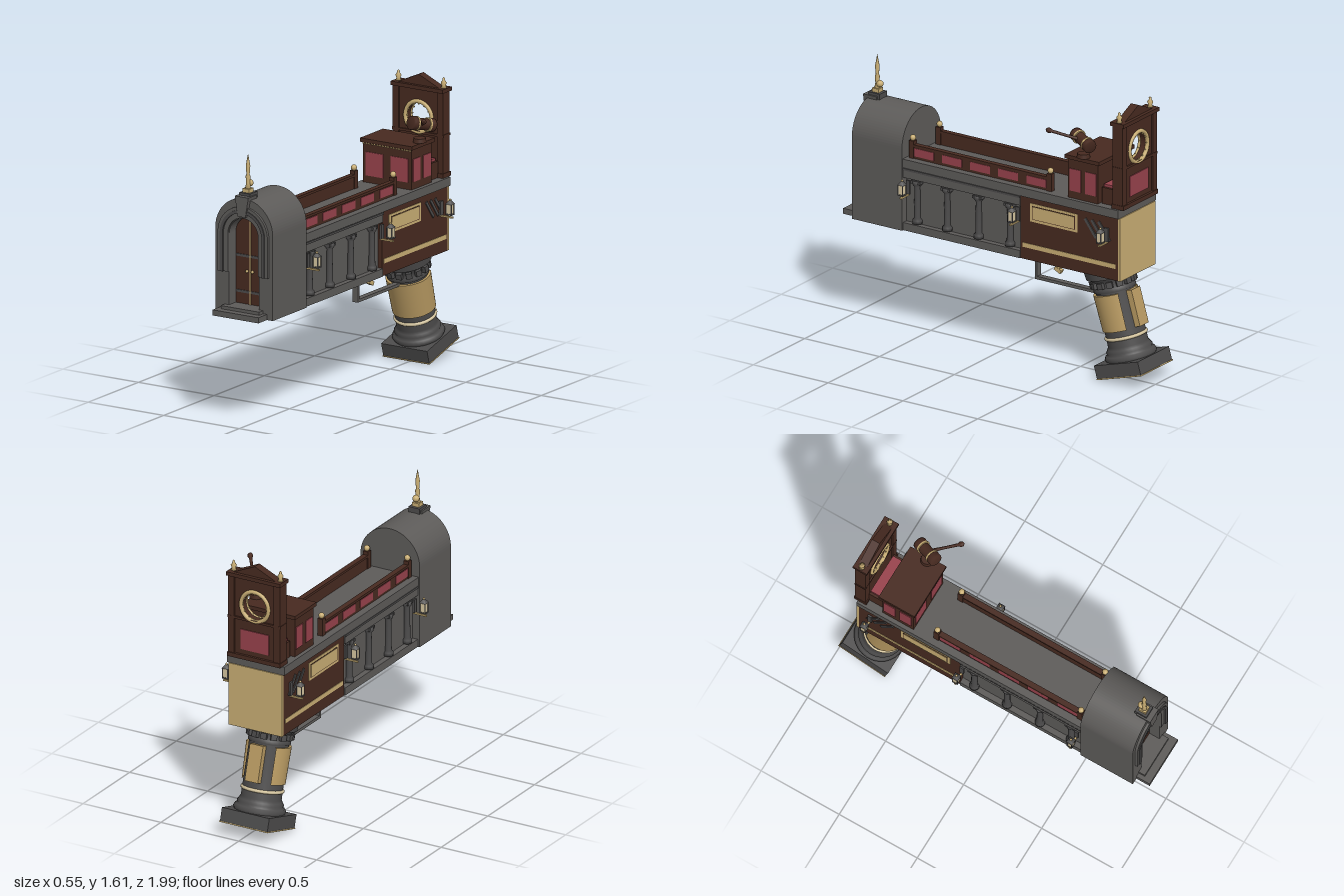
import * as THREE from 'three';

const paint = (name, color) => {
  const m = new THREE.MeshStandardMaterial({ color });
  m.name = name;
  return m;
};

export function createModel() {
  const stone = paint('stone', 0x5d5b59), slate = paint('dark stone', 0x4c4b4b);
  const wood = paint('dark wood', 0x472a20), gold = paint('brass', 0xc9ae74);
  const red = paint('red panel', 0x98424c), cream = paint('lamp glass', 0xd6c6a0);
  const shell = paint('brass sleeve', 0xb89a62);
  shell.side = THREE.DoubleSide;

  const model = new THREE.Group();
  model.name = 'courthouseBlaster';
  const body = new THREE.Group();
  body.name = 'body';
  body.position.x = -0.025;
  model.add(body);

  const add = (name, geo, mat, x = 0, y = 0, z = 0, parent = body) => {
    const m = new THREE.Mesh(geo, mat);
    m.name = name;
    m.position.set(x, y, z);
    parent.add(m);
    return m;
  };
  // box given by its ranges on each axis
  const box = (name, mat, x0, x1, y0, y1, z0, z1, parent = body) =>
    add(name, new THREE.BoxGeometry(x1 - x0, y1 - y0, z1 - z0), mat, (x0 + x1) / 2, (y0 + y1) / 2, (z0 + z1) / 2, parent);
  const wide = (name, mat, hw, y0, y1, z0, z1, parent) => box(name, mat, -hw, hw, y0, y1, z0, z1, parent);
  const lathe = (pts, seg = 20) => new THREE.LatheGeometry(pts.map(p => new THREE.Vector2(p[0], p[1])), seg);
  const extrude = (shape, depth) => new THREE.ExtrudeGeometry(shape, { depth, bevelEnabled: false, curveSegments: 20 });
  // round-headed arch outline
  const arch = (hw, y0, top, Type = THREE.Shape) => {
    const s = new Type();
    s.moveTo(-hw, y0);
    s.lineTo(hw, y0);
    s.lineTo(hw, top - hw);
    s.absarc(0, top - hw, hw, 0, Math.PI, false);
    s.lineTo(-hw, y0);
    return s;
  };
  // open arch moulding standing on y0
  const archBand = (outer, inner, y0, spring) => {
    const s = new THREE.Shape();
    s.moveTo(outer, y0);
    s.lineTo(outer, spring);
    s.absarc(0, spring, outer, 0, Math.PI, false);
    s.lineTo(-outer, y0);
    s.lineTo(-inner, y0);
    s.lineTo(-inner, spring);
    s.absarc(0, spring, inner, Math.PI, 0, true);
    s.lineTo(inner, y0);
    return s;
  };

  // entrance portal at the muzzle
  add('portalBlock', extrude(arch(0.19, 0.63, 1.3), 0.26), stone, 0, 0, 0.58);
  const face = arch(0.19, 0.63, 1.3);
  face.holes.push(arch(0.098, 0.675, 1.185, THREE.Path));
  add('portalFace', extrude(face, 0.075), stone, 0, 0, 0.84);
  [[0.165, 0.93], [0.147, 0.936], [0.13, 0.925]].forEach(([r, z], i) =>
    add('archMoulding', extrude(archBand(r, i === 2 ? 0.1 : r - 0.018, 0.87, 1.09), z - 0.91), i === 1 ? slate : stone, 0, 0, 0.91));
  add('doors', extrude(arch(0.097, 0.675, 1.18), 0.01), wood, 0, 0, 0.84);
  wide('doorSeam', gold, 0.004, 0.68, 1.175, 0.85, 0.856);
  for (const y of [0.75, 0.955]) wide('doorRail', slate, 0.092, y - 0.007, y + 0.007, 0.85, 0.855);
  for (const s of [-1, 1]) add('doorKnob', new THREE.SphereGeometry(0.009, 10, 8), gold, s * 0.018, 0.87, 0.86);
  wide('lowerStep', stone, 0.152, 0.63, 0.662, 0.9, 1);
  wide('upperStep', stone, 0.127, 0.662, 0.68, 0.85, 0.955);
  const key = new THREE.Shape([[-0.025, 1.2], [0.025, 1.2], [0.045, 1.315], [-0.045, 1.315]].map(p => new THREE.Vector2(...p)));
  add('keystone', extrude(key, 0.09), stone, 0, 0, 0.85);

  // sight spire
  wide('spireFoot', slate, 0.035, 1.29, 1.33, 0.835, 0.91);
  wide('spirePlinth', gold, 0.022, 1.33, 1.352, 0.852, 0.897);
  add('spire', lathe([[0, 0], [0.017, 0], [0.011, 0.03], [0.014, 0.07], [0.009, 0.08], [0.013, 0.13], [0, 0.2]], 10), gold, 0, 1.35, 0.875);
  add('spireBall', new THREE.SphereGeometry(0.02, 12, 10), gold, 0, 1.378, 0.857);

  // barrel with a colonnade on each side
  wide('barrelCore', stone, 0.145, 0.63, 1.0, -0.2, 0.58);
  wide('barrelSill', stone, 0.178, 0.63, 0.675, -0.2, 0.58);
  wide('barrelFrieze', stone, 0.178, 0.94, 1.0, -0.2, 0.58);
  wide('roofSlab', stone, 0.184, 1.0, 1.05, -0.86, 0.58);
  const column = lathe([[0, 0], [0.028, 0], [0.028, 0.02], [0.019, 0.03], [0.016, 0.215], [0.026, 0.228], [0.028, 0.25], [0, 0.25]], 14);
  for (const s of [-1, 1]) {
    for (const z of [0.5, 0.3, 0.09, -0.12]) {
      add('column', column, slate, s * 0.157, 0.682, z);
      add('columnCapital', new THREE.BoxGeometry(0.04, 0.018, 0.062), slate, s * 0.158, 0.925, z);
    }
    box('barrelTrim', slate, s * 0.18 - 0.004, s * 0.18 + 0.004, 0.985, 0.997, -0.2, 0.58);
  }

  // wooden receiver with painted inlays
  wide('receiver', wood, 0.172, 0.63, 1.0, -0.85, -0.2);
  wide('backPlate', gold, 0.172, 0.63, 1.0, -0.866, -0.85);
  for (const s of [-1, 1]) {
    const plate = (name, mat, off, y0, y1, z0, z1) =>
      box(name, mat, s * (0.172 + off) - 0.003, s * (0.172 + off) + 0.003, y0, y1, z0, z1);
    plate('brassStripe', gold, 0, 0.7, 0.726, -0.835, -0.215);
    plate('namePlateFrame', gold, 0, 0.86, 0.967, -0.582, -0.265);
    plate('namePlateLine', wood, 0.002, 0.874, 0.953, -0.566, -0.281);
    plate('namePlate', gold, 0.004, 0.878, 0.949, -0.562, -0.285);
    for (let i = 0; i < 3; i++)
      add('slantedVent', new THREE.BoxGeometry(0.012, 0.125, 0.017), slate, s * 0.172, 0.905, -0.67 - i * 0.045).rotation.x = 0.64;
  }

  // wall lanterns
  for (const s of [-1, 1]) for (const z of [0.547, -0.187, -0.778]) {
    const lamp = new THREE.Group();
    lamp.name = 'lantern';
    lamp.position.set(s * 0.237, 0, z);
    body.add(lamp);
    wide('lanternGlass', cream, 0.016, 0.868, 0.922, -0.014, 0.014, lamp);
    wide('lanternFloor', slate, 0.019, 0.86, 0.868, -0.017, 0.017, lamp);
    for (const a of [-1, 1]) for (const b of [-1, 1])
      add('lanternPost', new THREE.BoxGeometry(0.005, 0.056, 0.005), slate, a * 0.016, 0.895, b * 0.014, lamp);
    add('lanternCap', new THREE.CylinderGeometry(0.008, 0.028, 0.02, 4).rotateY(Math.PI / 4), slate, 0, 0.932, 0, lamp);
    add('lanternTip', new THREE.SphereGeometry(0.007, 8, 6), gold, 0, 0.945, 0, lamp);
    add('lanternArm', new THREE.BoxGeometry(0.085, 0.009, 0.012), gold, -s * 0.025, 0.846, 0, lamp);
    add('lanternMount', new THREE.BoxGeometry(0.012, 0.08, 0.025), slate, -s * 0.06, 0.89, 0, lamp);
  }

  // balustrades along the roof
  for (const s of [-1, 1]) {
    const x = s * 0.13;
    box('rail', wood, x - 0.011, x + 0.011, 1.05, 1.12, -0.38, 0.55);
    box('railCap', wood, x - 0.016, x + 0.016, 1.118, 1.132, -0.38, 0.55);
    for (let i = 0; i < 5; i++)
      add('railPanel', new THREE.BoxGeometry(0.006, 0.047, 0.132), red, x + s * 0.011, 1.088, 0.467 - i * 0.188);
    for (const z of [0.548, -0.372]) {
      box('railPost', wood, x - 0.016, x + 0.016, 1.05, 1.152, z - 0.016, z + 0.016);
      add('railBall', new THREE.SphereGeometry(0.017, 12, 10), gold, x, 1.167, z);
    }
  }

  // judge's bench with seat behind it
  wide('bench', wood, 0.16, 1.05, 1.28, -0.708, -0.508);
  wide('benchTop', wood, 0.172, 1.28, 1.302, -0.725, -0.495);
  for (let i = 0; i < 18; i++)
    add('benchDentil', new THREE.BoxGeometry(0.009, 0.009, 0.008), gold, -0.153 + i * 0.018, 1.274, -0.505);
  for (const s of [-1, 1]) {
    add('benchFrontPanel', new THREE.BoxGeometry(0.115, 0.135, 0.008), red, s * 0.083, 1.158, -0.508);
    for (const z of [-0.558, -0.662]) add('benchSidePanel', new THREE.BoxGeometry(0.008, 0.13, 0.074), red, s * 0.16, 1.158, z);
  }
  wide('seat', wood, 0.135, 1.05, 1.145, -0.808, -0.718);
  wide('seatCushion', red, 0.12, 1.145, 1.16, -0.806, -0.722);
  add('soundBlock', new THREE.CylinderGeometry(0.034, 0.038, 0.024, 20), wood, 0.15, 1.314, -0.605);

  // clock tower, open through the dial
  const tower = new THREE.Shape([[-0.155, 1.05], [0.155, 1.05], [0.155, 1.54], [-0.155, 1.54]].map(p => new THREE.Vector2(...p)));
  tower.holes.push(new THREE.Path().absarc(0, 1.375, 0.08, 0, Math.PI * 2, true));
  add('clockTower', extrude(tower, 0.05), wood, 0, 0, -0.87);
  for (const s of [-1, 1]) {
    box('towerPilaster', wood, s * 0.147 - 0.02, s * 0.147 + 0.02, 1.05, 1.54, -0.879, -0.811);
    add('towerFinial', lathe([[0, 0], [0.017, 0], [0.011, 0.015], [0.017, 0.032], [0.007, 0.045], [0.008, 0.055], [0, 0.062]], 12), gold, s * 0.15, 1.555, -0.845);
  }
  wide('towerBase', wood, 0.17, 1.05, 1.075, -0.885, -0.805);
  wide('towerBand', wood, 0.17, 1.282, 1.296, -0.88, -0.81);
  wide('towerCornice', wood, 0.173, 1.535, 1.557, -0.89, -0.8);
  const gable = new THREE.Shape([[-0.135, 1.557], [0.135, 1.557], [0, 1.618]].map(p => new THREE.Vector2(...p)));
  add('pediment', extrude(gable, 0.05), wood, 0, 0, -0.87);
  for (const z of [-0.87, -0.82]) {
    add('dialRing', new THREE.TorusGeometry(0.088, 0.012, 8, 36), gold, 0, 1.375, z);
    for (let i = 0; i < 12; i++) {
      const a = i * Math.PI / 6;
      add('hourMark', new THREE.BoxGeometry(0.012, 0.006, 0.006), gold, Math.cos(a) * 0.076, 1.375 + Math.sin(a) * 0.076, z).rotation.z = a;
    }
  }
  wide('towerPanel', red, 0.09, 1.105, 1.225, -0.875, -0.868);

  // gavel hovering over the bench
  const up = new THREE.Vector3(0, 1, 0);
  const gavel = new THREE.Group();
  gavel.name = 'gavel';
  gavel.position.set(0.162, 1.405, -0.61);
  body.add(gavel);
  const aim = (obj, x, y, z) => obj.quaternion.setFromUnitVectors(up, new THREE.Vector3(x, y, z).normalize());
  const head = add('gavelHead', lathe([[0, -0.08], [0.036, -0.08], [0.039, -0.07], [0.039, -0.045], [0.033, -0.035], [0.033, 0.035], [0.039, 0.045], [0.039, 0.07], [0.036, 0.08], [0, 0.08]]), wood, 0, 0, 0, gavel);
  aim(head, -0.055, 0.036, 0.14);
  for (const y of [-0.04, 0.04]) add('gavelBand', new THREE.CylinderGeometry(0.0405, 0.0405, 0.011, 20), gold, 0, y, 0, head);
  const handle = add('gavelHandle', lathe([[0, 0], [0.011, 0], [0.008, 0.1], [0.009, 0.18], [0.015, 0.192], [0.014, 0.208], [0, 0.217]], 12), wood, 0, 0, 0, gavel);
  aim(handle, 0.12, 0.067, 0.16);

  // trigger and guard
  wide('guardFront', stone, 0.018, 0.46, 0.64, -0.205, -0.19);
  wide('guardBar', stone, 0.018, 0.458, 0.475, -0.64, -0.19);
  add('trigger', new THREE.BoxGeometry(0.022, 0.1, 0.018), gold, 0, 0.585, -0.352).rotation.x = -0.3;
  add('triggerTip', new THREE.BoxGeometry(0.026, 0.022, 0.045), gold, 0, 0.538, -0.337).rotation.x = -0.45;

  // leaning column grip
  const grip = new THREE.Group();
  grip.name = 'grip';
  grip.position.set(0, 0.053, -0.845);
  grip.rotation.x = 0.28;
  body.add(grip);
  wide('gripPlinth', slate, 0.152, 0.006, 0.082, -0.152, 0.152, grip);
  wide('gripSole', gold, 0.155, 0, 0.006, -0.155, 0.155, grip);
  add('gripShaft', lathe([[0.14, 0.08], [0.148, 0.095], [0.14, 0.112], [0.126, 0.116], [0.132, 0.13], [0.122, 0.145], [0.114, 0.16],
    [0.112, 0.47], [0.12, 0.475], [0.12, 0.495], [0.112, 0.5], [0.114, 0.535], [0.14, 0.56]], 32), slate, 0, 0, 0, grip);
  add('gripCapital', new THREE.CylinderGeometry(0.15, 0.145, 0.055, 32), slate, 0, 0.583, 0, grip);
  add('gripRing', new THREE.TorusGeometry(0.113, 0.01, 8, 32).rotateX(Math.PI / 2), cream, 0, 0.208, 0, grip);
  add('gripSleeve', new THREE.CylinderGeometry(0.127, 0.122, 0.21, 32, 1, true, -2.3, 4.6), shell, 0, 0.357, 0, grip);
  for (const y of [0.255, 0.459])
    add('sleeveEdge', new THREE.RingGeometry(0.11, y > 0.3 ? 0.127 : 0.122, 32, 1, -2.3 - Math.PI / 2, 4.6).rotateX(-Math.PI / 2), shell, 0, y + 0.003, 0, grip);
  wide('gripBackPlate', shell, 0.042, 0.255, 0.465, -0.14, -0.1, grip);
  for (let i = 0; i < 14; i++) {
    const a = (i + 0.5) * Math.PI / 7;
    add('gripDentil', new THREE.BoxGeometry(0.034, 0.034, 0.03), slate, Math.sin(a) * 0.12, 0.52, Math.cos(a) * 0.12, grip).rotation.y = a;
  }
  return model;
}
